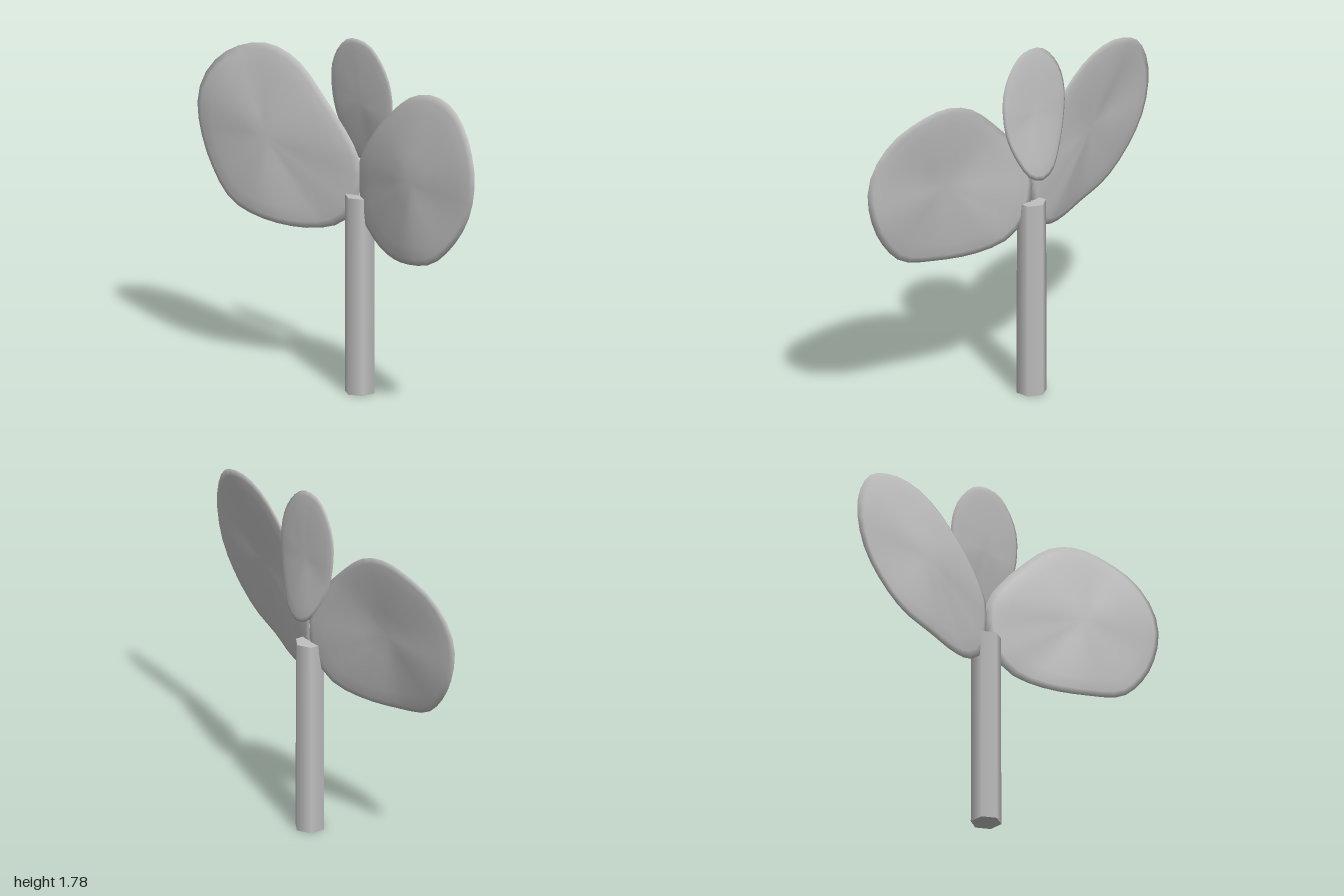
import * as THREE from 'three';

const grey = new THREE.MeshStandardMaterial({ color: 0xc0c0c0 });
grey.name = 'plain grey';

// Thin domed blade: closed rim [x, y, z] counter-clockwise from the front, domed on both sides of a centre.
function blade(name, rim, centre, frontDome, backDome) {
  const segments = 36, rings = [0.3, 0.55, 0.78, 0.93];
  const curve = new THREE.CatmullRomCurve3(rim.map(p => new THREE.Vector3(...p)), true);
  const edge = curve.getSpacedPoints(segments).slice(0, segments);
  const mid = new THREE.Vector3(...centre);
  const positions = [], index = [];
  const add = (p, dz) => positions.push(p.x, p.y, p.z + dz) / 3 - 1;
  const edgeRow = edge.map(p => add(p, 0));

  for (const side of [1, -1]) {
    const dome = side > 0 ? frontDome : -backDome;
    const tri = (a, b, c) => (side > 0 ? index.push(a, b, c) : index.push(a, c, b));
    const hub = add(mid, dome);
    const rows = rings.map(t => edge.map(p =>
      add(mid.clone().lerp(p, t), dome * Math.sqrt(1 - t * t))));
    rows.push(edgeRow);
    for (let i = 0; i < segments; i++) {
      const j = (i + 1) % segments;
      tri(hub, rows[0][i], rows[0][j]);
      for (let r = 0; r < rows.length - 1; r++) {
        const a = rows[r], b = rows[r + 1];
        tri(a[i], b[i], b[j]);
        tri(a[i], b[j], a[j]);
      }
    }
  }
  const geometry = new THREE.BufferGeometry();
  geometry.setAttribute('position', new THREE.Float32BufferAttribute(positions, 3));
  geometry.setIndex(index);
  geometry.computeVertexNormals();
  const mesh = new THREE.Mesh(geometry, grey);
  mesh.name = name;
  return mesh;
}

export function createModel() {
  const model = new THREE.Group();
  model.name = 'threePetalFlower';

  // Six-sided stalk with smooth shading
  const stalk = new THREE.Mesh(new THREE.CylinderGeometry(0.074, 0.076, 0.99, 6), grey);
  stalk.name = 'stalk';
  stalk.position.set(0, 0.495, -0.055);
  model.add(stalk);

  // Two broad side petals: upper edge leans back, lower edge flares forward
  const rim = [
    [0, 1.0, -0.055], [0.05, 0.88, -0.035], [0.14, 0.815, -0.015], [0.30, 0.78, 0.04],
    [0.52, 0.79, 0.105], [0.73, 0.845, 0.125], [0.88, 0.98, 0.115], [0.965, 1.12, 0.105],
    [1.0, 1.27, 0.1], [0.975, 1.40, 0.085], [0.88, 1.53, 0.05], [0.73, 1.61, 0.005],
    [0.57, 1.63, -0.015], [0.40, 1.58, -0.025], [0.20, 1.42, -0.03], [0.07, 1.28, -0.045],
    [0, 1.17, -0.055],
  ];
  const mirrored = rim.map(([x, y, z]) => [-x, y, z]).reverse();
  model.add(blade('leftPetal', rim, [0.52, 1.2, 0.06], 0.03, 0.025));
  model.add(blade('rightPetal', mirrored, [-0.52, 1.2, 0.06], 0.03, 0.025));

  // Small egg-shaped petal standing behind
  const half = [[0.08, 1.15, -0.122], [0.15, 1.25, -0.1], [0.2, 1.37, -0.08],
    [0.22, 1.5, -0.07], [0.205, 1.61, -0.06], [0.155, 1.7, -0.053], [0.08, 1.765, -0.048]];
  const backRim = [[0, 1.12, -0.13], ...half, [0, 1.78, -0.045],
    ...half.map(([x, y, z]) => [-x, y, z]).reverse()];
  model.add(blade('backPetal', backRim, [0, 1.46, -0.07], 0.015, 0.018));

  return model;
}
